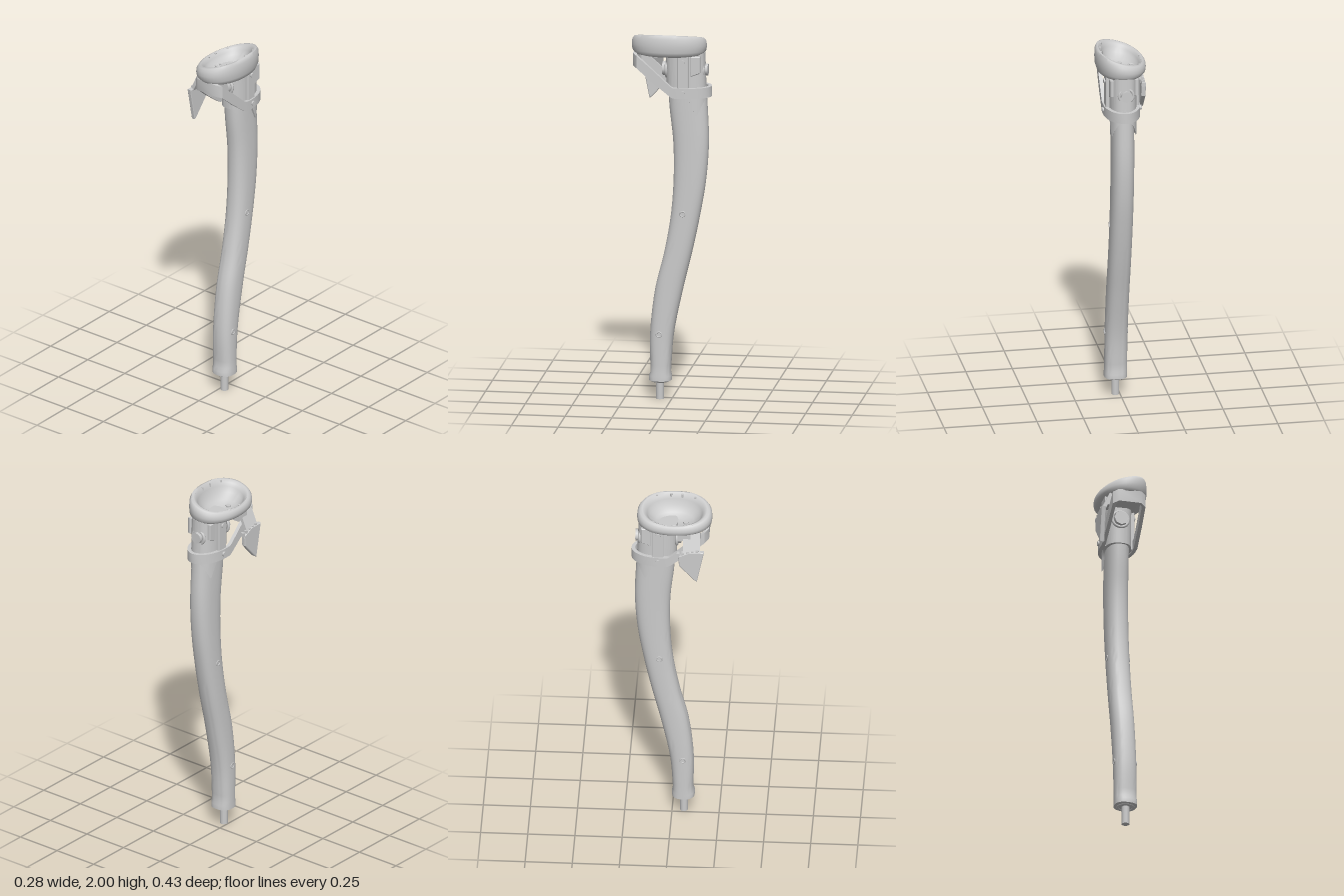
import * as THREE from 'three';
import { toCreasedNormals } from 'three/addons/utils/BufferGeometryUtils.js';

const grey = new THREE.MeshStandardMaterial({ color: 0xcccccc });
const V = (x, y, z) => new THREE.Vector3(x, y, z);

function add(parent, name, geometry, x = 0, y = 0, z = 0) {
  const mesh = new THREE.Mesh(geometry, grey);
  mesh.name = name;
  mesh.position.set(x, y, z);
  parent.add(mesh);
  return mesh;
}

// Skin a surface over a list of rings that all have the same point count.
function skin(rings, { closed = false, caps = false, crease = 0.7 } = {}) {
  const n = rings[0].length;
  const all = rings.slice();
  if (caps) {
    const middle = (r) => {
      const c = r.reduce((s, p) => s.add(p), V(0, 0, 0)).divideScalar(n);
      return r.map(() => c);
    };
    all.unshift(middle(rings[0]));
    all.push(middle(rings[rings.length - 1]));
  }
  const index = [];
  const m = all.length;
  for (let i = 0; i < (closed ? m : m - 1); i++) {
    for (let j = 0; j < n; j++) {
      const a = i * n + j, b = i * n + (j + 1) % n;
      const c = ((i + 1) % m) * n + j, d = ((i + 1) % m) * n + (j + 1) % n;
      index.push(a, c, b, b, c, d);
    }
  }
  const g = new THREE.BufferGeometry().setFromPoints(all.flat());
  g.setIndex(index);
  return toCreasedNormals(g, crease);
}

// Horizontal rounded oval ring.
function oval(y, cx, cz, rx, rz, n = 32, power = 2.5) {
  const f = (v) => Math.sign(v) * Math.abs(v) ** (2 / power);
  return Array.from({ length: n }, (_, j) => {
    const t = (j / n) * Math.PI * 2;
    return V(cx + rx * f(Math.cos(t)), y, cz + rz * f(Math.sin(t)));
  });
}

// Flat plate drawn in the z-y plane and given a thickness in x.
function plate(points, thickness) {
  const shape = new THREE.Shape(points.map(([z, y]) => new THREE.Vector2(z, y)));
  const b = 0.004;
  const g = new THREE.ExtrudeGeometry(shape, {
    depth: thickness - 2 * b, bevelSize: b, bevelThickness: b, bevelOffset: -b, bevelSegments: 1,
  });
  return g.translate(0, 0, b - thickness / 2).rotateY(-Math.PI / 2);
}

export function createModel() {
  const model = new THREE.Group();
  model.name = 'curvedStaff';

  // Curved shaft: height, front z, back z
  const edges = [
    [0.15, 0.112, 0.005], [0.35, 0.115, -0.01], [0.6, 0.088, -0.06], [0.8, 0.04, -0.108],
    [1.0, 0.005, -0.15], [1.2, -0.01, -0.183], [1.4, -0.008, -0.197], [1.6, 0.013, -0.19], [1.88, 0.03, -0.172],
  ];
  const front = new THREE.CatmullRomCurve3(edges.map(([y, f, b]) => V(f, y, b)));
  const shaft = [oval(0.1, 0.024, 0.06, 0.052, 0.052), oval(0.105, 0.024, 0.06, 0.061, 0.06),
    oval(0.13, 0.024, 0.06, 0.061, 0.06)];
  for (let i = 0; i <= 40; i++) {
    const p = front.getPoint(i / 40);
    const cx = 0.024 - 0.012 * (p.y / 1.88);
    shaft.push(oval(p.y, cx, (p.x + p.z) / 2, 0.06, (p.x - p.z) / 2));
  }
  add(model, 'shaft', skin(shaft, { caps: true }));

  // Peg at the foot, with a collar
  add(model, 'footPeg', new THREE.CylinderGeometry(0.021, 0.021, 0.12, 12), 0.024, 0.06, 0.063);
  const collar = add(model, 'pegCollar', new THREE.TorusGeometry(0.042, 0.008, 8, 24), 0.024, 0.102, 0.061);
  collar.rotation.x = Math.PI / 2;

  // Pin rims on both sides of the shaft
  for (const [y, z] of [[1.02, -0.065], [0.36, 0.06]]) {
    const cx = 0.024 - 0.012 * (y / 1.88);
    for (const s of [-1, 1]) {
      const rim = add(model, 'pinRim', new THREE.TorusGeometry(0.014, 0.004, 6, 16), cx + s * 0.059, y, z);
      rim.rotation.y = Math.PI / 2;
    }
  }

  // Sleeve around the top of the shaft, with a pointed lower edge on each side
  const sleeve = [0, 0.35, 0.7, 1].map((t) => oval(1.66, 0.012, -0.08, 0.072, 0.105, 64).map((p) => {
    const low = 1.66 - 0.11 * Math.max(0, 1 - Math.abs(p.z + 0.14) / 0.05);
    p.y = low + (1.89 - low) * t;
    p.z += 0.008 * t;
    return p;
  }));
  add(model, 'sleeve', skin(sleeve, { caps: true }));

  // Cup: oval bowl with a thick rim that rises towards +x
  const lift = (x) => 0.031 * THREE.MathUtils.clamp((x - 0.007) / 0.115, -1, 1);
  const profile = [
    [0.02, 1.86, 0], [0.5, 1.868, 0], [0.82, 1.878, 0], [0.93, 1.884, 0], [0.985, 1.9, 0.2],
    [1, 1.925, 0.55], [0.985, 1.952, 0.9], [0.93, 1.967, 1], [0.86, 1.97, 1], [0.78, 1.96, 1],
    [0.73, 1.943, 0.9], [0.66, 1.92, 0.6], [0.5, 1.895, 0.3], [0.3, 1.882, 0.1], [0.02, 1.877, 0],
  ];
  const cup = profile.map(([s, y, k]) => oval(y, 0.007, 0.015, 0.133 * s, 0.2 * s, 48, 2.15).map((p) => {
    p.y += k * lift(p.x);
    return p;
  }));
  add(model, 'cup', skin(cup, { caps: true, crease: 1 }));

  // Small studs around the rim, and the bolt and port in the bowl
  const studs = [[-0.08, -0.095], [-0.1, -0.015], [-0.1, 0.04], [-0.09, 0.115],
    [0.1, -0.085], [0.11, -0.01], [0.108, 0.05], [0.092, 0.12]];
  for (const [x, z] of studs) {
    add(model, 'rimStud', new THREE.CylinderGeometry(0.006, 0.006, 0.02, 8), x, 1.957 + lift(x), z);
  }
  add(model, 'bowlBolt', new THREE.CylinderGeometry(0.015, 0.015, 0.015, 6), 0.003, 1.882, 0.075);
  const port = add(model, 'bowlPort', new THREE.TorusGeometry(0.017, 0.004, 8, 20), -0.055, 1.893, 0.015);
  port.rotation.x = Math.PI / 2;

  // Strap: a closed loop, level round the back and climbing to the front of the cup
  const cx = 0.013;
  const half = [[0.088, 1.682, -0.06], [0.088, 1.683, -0.02], [0.087, 1.69, -0.005],
    [0.084, 1.77, 0.09], [0.08, 1.845, 0.175], [0.06, 1.855, 0.19]];
  const path = half.map(([x, y, z]) => V(cx + x, y, z));
  path.push(...half.slice().reverse().map(([x, y, z]) => V(cx - x, y, z)));
  for (let i = 1; i < 16; i++) {
    const a = (i / 16) * Math.PI;
    path.push(V(cx - 0.088 * Math.cos(a), 1.682, -0.06 - 0.145 * Math.sin(a)));
  }
  const strap = path.map((p, i) => {
    const t = path[(i + 1) % path.length].clone().sub(path[(i + path.length - 1) % path.length]);
    const n = V(t.z, 0, -t.x).normalize().multiplyScalar(0.01);
    const h = V(0, p.y > 1.695 ? 0.034 : 0.028, 0);
    const out = p.clone().add(n), inn = p.clone().sub(n);
    return [out.clone().add(h), out.clone().sub(h), inn.clone().sub(h), inn.clone().add(h)];
  });
  add(model, 'strap', skin(strap, { closed: true }));

  // Side brackets with screws, and a shorter plate behind each
  for (const s of [-1, 1]) {
    add(model, 'sideBracket', plate([[-0.04, 1.66], [-0.04, 1.89], [-0.1, 1.89], [-0.1, 1.66]], 0.024), cx + s * 0.078);
    add(model, 'rearPlate', plate([[-0.11, 1.77], [-0.11, 1.88], [-0.16, 1.88], [-0.16, 1.79]], 0.02), cx + s * 0.066);
    for (const [y, x] of [[1.85, 0.092], [1.685, 0.1]]) {
      const screw = add(model, 'screw', new THREE.CylinderGeometry(0.013, 0.013, 0.012, 12), cx + s * x, y, -0.07);
      screw.rotation.z = Math.PI / 2;
    }
  }

  // Bolts on the front and back of the sleeve
  for (const [name, z, r] of [['frontBolt', 0.035, 0.038], ['backBolt', -0.178, 0.032]]) {
    const bolt = add(model, name, new THREE.CylinderGeometry(r, r, 0.03, 8), 0.006, 1.795, z);
    bolt.rotation.x = Math.PI / 2;
    add(model, name + 'Washer', new THREE.TorusGeometry(r + 0.006, 0.008, 8, 24), 0.006, 1.795, z - Math.sign(z) * 0.008);
  }

  // Side blade hanging from the cup on a slanted arm, with a row of teeth
  const blade = new THREE.Group();
  blade.name = 'sideBlade';
  model.add(blade);
  add(blade, 'bladePlate', plate([[0.178, 1.79], [0.14, 1.6], [0.125, 1.61], [0.045, 1.7], [0.04, 1.76], [0.1, 1.79]], 0.024), -0.125);
  const arm = add(blade, 'bladeArm', new THREE.BoxGeometry(0.018, 0.12, 0.09), -0.102, 1.825, 0.11);
  arm.rotation.z = -0.42;
  add(blade, 'armBlock', new THREE.BoxGeometry(0.05, 0.045, 0.07), -0.075, 1.86, 0.07);
  for (let i = 0; i < 5; i++) {
    add(blade, 'tooth', new THREE.BoxGeometry(0.02, 0.022, 0.014), -0.125, 1.768 + i * 0.005, 0.04 + i * 0.025);
  }
  return model;
}
